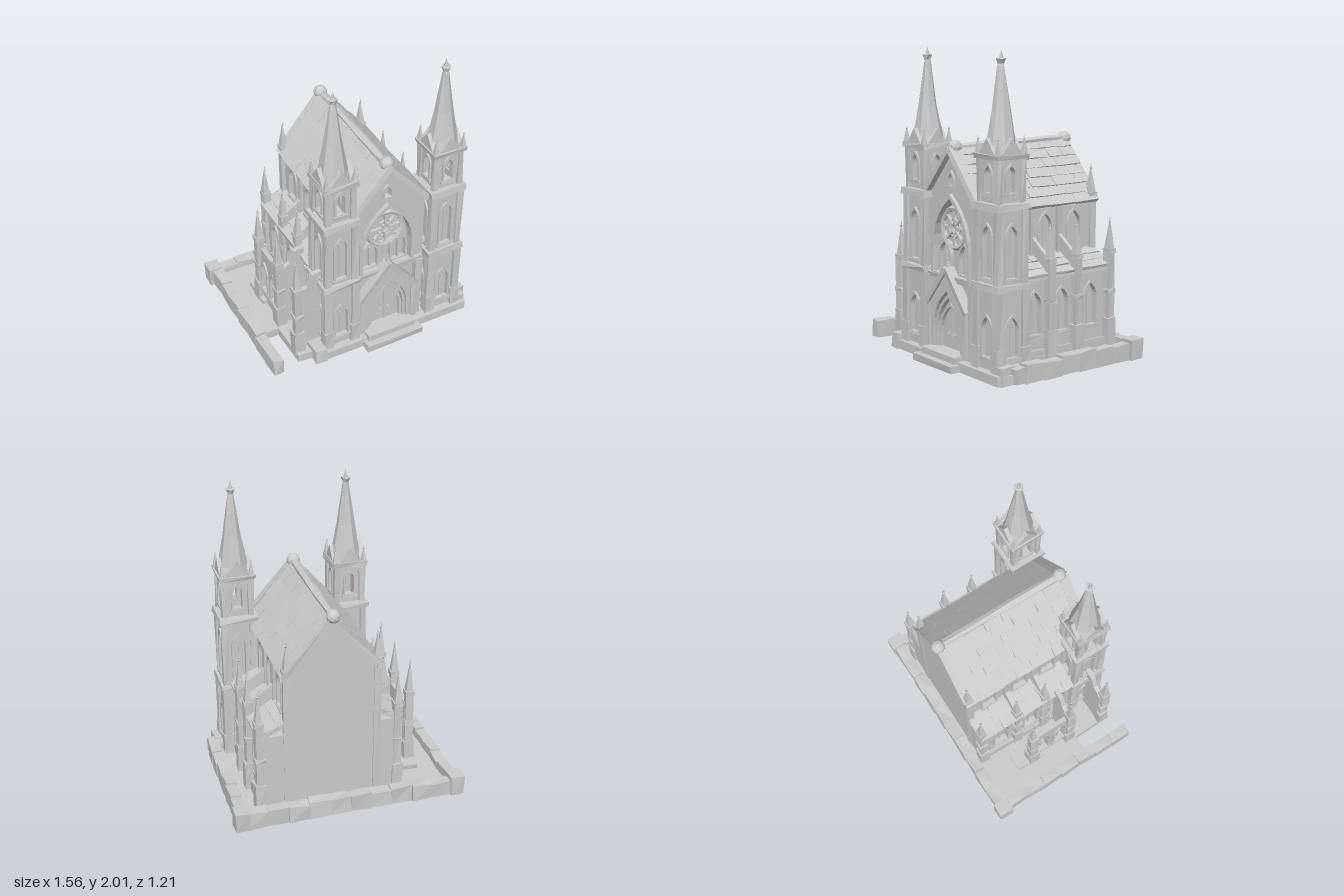
import * as THREE from 'three';

const stone = new THREE.MeshStandardMaterial({ color: 0xcccccc, flatShading: true });
let seed = 7;
const rnd = () => ((seed = (seed * 16807) % 2147483647) / 2147483647);
const CX = 0.1; // nave axis

// Chisel: shift vertices by a rule of position so shared corners stay together
function chisel(geo, amp) {
  const p = geo.attributes.position, k = rnd() * 50;
  const h = (a, b, c, d) => amp * Math.sin(a * 91 + b * 57 + c * 73 + d + k);
  for (let i = 0; i < p.count; i++) {
    const x = p.getX(i), y = p.getY(i), z = p.getZ(i);
    p.setXYZ(i, x + h(x, y, z, 0), y + h(y, z, x, 2), z + h(z, x, y, 4));
  }
  geo.computeVertexNormals();
  return geo;
}
function add(parent, name, geo, x = 0, y = 0, z = 0, ry = 0, rz = 0) {
  const m = new THREE.Mesh(geo, stone);
  m.name = name;
  m.position.set(x, y, z);
  m.rotation.set(0, ry, rz);
  parent.add(m);
  return m;
}
function group(parent, name, x = 0, y = 0, z = 0, ry = 0) {
  const g = new THREE.Group();
  g.name = name;
  g.position.set(x, y, z);
  g.rotation.y = ry;
  parent.add(g);
  return g;
}
// Rough block standing on y
const block = (parent, name, w, h, d, x, y, z, amp = 0.004) =>
  add(parent, name, chisel(new THREE.BoxGeometry(w, h, d), amp), x, y + h / 2, z);
const extrude = (shape, depth) =>
  new THREE.ExtrudeGeometry(shape, { depth, bevelEnabled: false, curveSegments: 5 });
const polygon = pts => new THREE.Shape(pts.map(([x, y]) => new THREE.Vector2(x, y)));

// Pointed arch outline
function arch(w, h, x = 0, y = 0, Type = THREE.Shape) {
  const s = y + h - w * 0.9, t = y + h, c = s + (t - s) * 0.6, p = new Type();
  p.moveTo(x - w / 2, y);
  p.lineTo(x + w / 2, y);
  p.lineTo(x + w / 2, s);
  p.quadraticCurveTo(x + w / 2, c, x, t);
  p.quadraticCurveTo(x - w / 2, c, x - w / 2, s);
  p.lineTo(x - w / 2, y);
  return p;
}
function archFrame(parent, name, w, h, t, depth, x, y, z) {
  const s = arch(w + 2 * t, h + 1.4 * t);
  s.holes.push(arch(w, h - 0.01, 0, 0.01, THREE.Path));
  add(parent, name, extrude(s, depth), x, y, z);
}
// Wall with arched openings [x, y, w, h], outer face at local z = 0
function wall(parent, name, w, h, depth, openings, mullions = true) {
  const s = polygon([[-w / 2, 0], [w / 2, 0], [w / 2, h], [-w / 2, h]]);
  openings.forEach(([x, y, ow, oh]) => {
    s.holes.push(arch(ow, oh, x, y, THREE.Path));
    archFrame(parent, 'windowFrame', ow, oh, 0.014, 0.025, x, y, -0.013);
    block(parent, 'windowSill', ow + 0.04, 0.02, 0.035, x, y - 0.015, 0, 0.002);
    if (mullions) block(parent, 'mullion', 0.01, oh * 0.85, 0.015, x, y, -depth * 0.7, 0.001);
  });
  add(parent, name, extrude(s, depth), 0, 0, -depth);
}
// Square pinnacle with collar and tip
function pinnacle(parent, x, y, z, r, h) {
  const g = group(parent, 'pinnacle', x, y, z);
  block(g, 'pinnacleCollar', r * 2.3, h * 0.12, r * 2.3, 0, 0, 0, 0.002);
  add(g, 'pinnacleSpike', chisel(new THREE.ConeGeometry(r * 1.3, h * 0.85, 4), 0.002), 0, h * 0.52, 0, Math.PI / 4);
  add(g, 'pinnacleKnob', new THREE.OctahedronGeometry(r * 0.45), 0, h * 0.84, 0);
  add(g, 'pinnacleTip', new THREE.ConeGeometry(r * 0.25, h * 0.14, 4), 0, h * 0.93, 0);
}
// Stepped buttress, narrowing upwards
function buttress(parent, x, z, top, w, tip) {
  block(parent, 'buttressFoot', w * 1.35, top * 0.3, w * 1.35, x, 0.05, z);
  block(parent, 'buttressShaft', w, top - 0.05, w, x, 0.05, z);
  block(parent, 'buttressBand', w * 1.25, 0.025, w * 1.25, x, top * 0.62, z);
  pinnacle(parent, x, top, z, w * 0.5, tip - top);
}

function tower(parent, x, z) {
  const t = group(parent, 'tower', x, 0, z);
  // [name, y, height, half width, post width, opening w, opening h, opening y]
  const stages = [
    ['towerBase', 0.05, 0.52, 0.105, 0.052, 0.09, 0.26, 0.08],
    ['towerMiddle', 0.59, 0.47, 0.1, 0.044, 0.08, 0.33, 0.03],
    ['towerBelfry', 1.09, 0.27, 0.092, 0.038, 0.06, 0.17, 0.05]];
  stages.forEach(([name, y, h, r, post, ow, oh, oy], i) => {
    if (i < 2) block(t, name + 'Core', r * 1.6, h, r * 1.6, 0, y, 0, 0);
    for (let k = 0; k < 4; k++) {
      const a = k * Math.PI / 2, face = group(t, name + 'Side', Math.sin(a) * r, y, Math.cos(a) * r, a);
      wall(face, name + 'Wall', r * 2, h, 0.03, [[0, oy, ow, oh]], i < 2);
      const sx = k & 1 ? 1 : -1, sz = k & 2 ? 1 : -1;
      block(t, name + 'Post', post, h, post, sx * r * 0.96, y, sz * r * 0.96);
      if (i === 0) block(t, 'towerPostFoot', 0.068, 0.15, 0.068, sx * 0.098, y, sz * 0.098);
    }
    block(t, name + 'Ledge', r * 2 + 0.055, 0.035, r * 2 + 0.055, 0, y + h - 0.012, 0, 0.005);
  });
  // Crown gables and corner pinnacles around the spire
  for (let k = 0; k < 4; k++) {
    const a = k * Math.PI / 2;
    const gable = polygon([[-0.085, 0], [0.085, 0], [0, 0.11]]);
    add(t, 'crownGable', extrude(gable, 0.03), Math.sin(a) * 0.08, 1.37, Math.cos(a) * 0.08, a);
    pinnacle(t, (k & 1 ? 1 : -1) * 0.098, 1.37, (k & 2 ? 1 : -1) * 0.098, 0.018, 0.12);
  }
  const profile = [[0.115, 1.37], [0.096, 1.43], [0.06, 1.63], [0.021, 1.9], [0.016, 1.92]].map(p => new THREE.Vector2(...p));
  add(t, 'spire', chisel(new THREE.LatheGeometry(profile, 8), 0.003), 0, 0, 0, Math.PI / 8);
  add(t, 'spireKnob', chisel(new THREE.CylinderGeometry(0.033, 0.02, 0.03, 6), 0.003), 0, 1.93, 0);
  add(t, 'spireTip', new THREE.ConeGeometry(0.02, 0.07, 5), 0, 1.965, 0);
}

// Overlapping slates on a slope rising along +x from the group's origin
function slates(parent, length, depth, rows, thick, angle) {
  const slope = group(parent, 'slateSlope');
  slope.rotation.z = angle;
  add(slope, 'roofBoard', new THREE.BoxGeometry(length, 0.02, depth), length / 2, -0.012, 0);
  for (let r = 0; r < rows; r++) {
    for (let z = -depth / 2; z < depth / 2 - 0.01;) {
      let w = 0.1 + rnd() * 0.12;
      if (z + w > depth / 2 - 0.06) w = depth / 2 - z;
      const s = block(slope, 'slate', length / rows * 1.15, thick, w - 0.002, (r + 0.5) * length / rows, -0.006, z + w / 2, 0.003);
      s.rotation.z = -0.1;
      z += w;
    }
  }
}

function sideOfNave(parent, s) {
  // Clerestory above the aisle
  const bays = [0.14, -0.08, -0.32], ry = s * Math.PI / 2;
  const upper = group(parent, 'clerestory', CX + s * 0.295, 0.64, -0.12, ry);
  wall(upper, 'clerestoryWall', 0.74, 0.4, 0.03, bays.map(z => [-s * (z + 0.12), 0.06, 0.1, 0.25]));
  block(upper, 'eaveCornice', 0.76, 0.03, 0.03, 0, 0.35, 0.005);
  // Aisle with lancets and lean-to roof
  const ax = 0.11 + s * 0.45;
  block(parent, 'aisleCore', 0.2, 0.55, 0.74, ax - s * 0.13, 0.05, -0.12, 0);
  const lower = group(parent, 'aisle', ax, 0.05, -0.12, ry);
  wall(lower, 'aisleWall', 0.74, 0.56, 0.032, bays.map(z => [-s * (z + 0.12), 0.17, 0.1, 0.28]));
  block(lower, 'aislePlinth', 0.75, 0.08, 0.03, 0, 0, 0.01);
  block(lower, 'aisleCornice', 0.75, 0.03, 0.035, 0, 0.53, 0.01);
  const lean = group(parent, 'aisleRoof', 0.11 + s * 0.475, 0.6, -0.12, s > 0 ? Math.PI : 0);
  slates(lean, 0.21, 0.74, 3, 0.02, Math.atan2(0.09, 0.19));
  // Buttresses with flying arms
  [0.03, -0.19, -0.47].forEach(z => {
    buttress(parent, 0.12 + s * 0.46, z, 0.68, 0.052, 0.93);
    block(parent, 'clerestoryPier', 0.035, 0.34, 0.04, CX + s * 0.3, 0.66, z);
    const arm = polygon([[0.45, 0.62], [0.46, 0.7], [0.29, 0.82], [0.29, 0.72]].map(([x, y]) => [s * x, y]));
    if (z > -0.4) add(parent, 'flyingButtress', extrude(arm, 0.026), 0.115, 0, z - 0.013);
  });
  block(parent, 'cornerPier', 0.05, 1.0, 0.05, CX + s * 0.295, 0.05, -0.47);
  pinnacle(parent, CX + s * 0.295, 1.03, -0.47, 0.026, 0.22);
  // Main roof slope
  const roof = group(parent, 'mainRoof', CX + s * 0.32, 1.0, -0.04, s > 0 ? Math.PI : 0);
  slates(roof, 0.5, 0.92, 7, 0.024, Math.atan2(0.38, 0.32));
}

function facade(parent) {
  const f = group(parent, 'facade', CX, 0, 0.43);
  const front = polygon([[-0.28, 0.05], [0.28, 0.05], [0.28, 1.06], [0, 1.38], [-0.28, 1.06]]);
  front.holes.push(arch(0.36, 0.5, 0, 0.56, THREE.Path));
  front.holes.push(arch(0.05, 0.09, 0, 1.13, THREE.Path));
  add(f, 'facadeWall', extrude(front, 0.05), 0, 0, -0.05);
  archFrame(f, 'greatArch', 0.36, 0.5, 0.022, 0.04, 0, 0.56, -0.015);
  archFrame(f, 'gableWindowFrame', 0.05, 0.09, 0.012, 0.02, 0, 1.13, -0.005);
  [-1, 1].forEach(s => {
    add(f, 'gableCoping', chisel(new THREE.BoxGeometry(0.44, 0.04, 0.07), 0.004), s * 0.145, 1.21, 0, 0, -s * Math.atan2(0.32, 0.28));
    archFrame(f, 'lancet', 0.1, 0.2, 0.016, 0.03, s * 0.105, 0.57, -0.04);
    block(f, 'lancetMullion', 0.012, 0.17, 0.02, s * 0.105, 0.57, -0.03, 0.001);
    block(f, 'facadePier', 0.05, 0.5, 0.05, s * 0.235, 0.05, 0.015);
  });
  block(f, 'facadeLedge', 0.54, 0.03, 0.06, 0, 0.535, 0.005);
  // Rose window
  const rose = group(f, 'roseWindow', 0, 0.87, -0.02);
  add(rose, 'roseRim', new THREE.TorusGeometry(0.125, 0.018, 5, 20));
  add(rose, 'roseHub', new THREE.TorusGeometry(0.028, 0.01, 5, 10));
  for (let i = 0; i < 8; i++) {
    const a = i * Math.PI / 4;
    add(rose, 'roseSpoke', new THREE.BoxGeometry(0.09, 0.013, 0.022), Math.cos(a) * 0.075, Math.sin(a) * 0.075, 0, 0, a);
    add(rose, 'rosePetal', new THREE.TorusGeometry(0.032, 0.006, 4, 8), Math.cos(a + 0.39) * 0.086, Math.sin(a + 0.39) * 0.086, 0);
  }
  // Portal with nested arches, door and steps
  const p = group(f, 'portal', 0, 0.07, 0);
  const hood = polygon([[-0.2, 0], [0.2, 0], [0.2, 0.29], [0, 0.53], [-0.2, 0.29]]);
  hood.holes.push(arch(0.29, 0.4, 0, 0.001, THREE.Path));
  add(p, 'portalHood', extrude(hood, 0.05));
  [0.25, 0.21].forEach((w, i) => archFrame(p, 'portalArch', w, w * 1.42, 0.02, 0.035 - i * 0.013, 0, 0, 0));
  block(p, 'doorSeam', 0.008, 0.27, 0.01, 0, 0, 0, 0);
  [-1, 1].forEach(s => {
    add(p, 'hoodCoping', chisel(new THREE.BoxGeometry(0.33, 0.03, 0.075), 0.003), s * 0.105, 0.42, 0.03, 0, -s * 0.876);
    block(p, 'portalPier', 0.04, 0.3, 0.07, s * 0.195, 0, 0.025);
    add(p, 'doorHandle', new THREE.TorusGeometry(0.012, 0.004, 4, 8), s * 0.03, 0.12, 0.006);
  });
  pinnacle(p, 0, 0.52, 0.03, 0.018, 0.1);
  block(f, 'upperStep', 0.36, 0.085, 0.12, 0, 0, 0.06);
  block(f, 'lowerStep', 0.42, 0.045, 0.16, 0, 0, 0.09);
}

// Row of rough stones between two points along x or z
function stoneRow(parent, x0, z0, x1, z1, w) {
  const n = Math.round(Math.hypot(x1 - x0, z1 - z0) / 0.14), alongX = x0 !== x1;
  for (let i = 0; i < n; i++) {
    const t = (i + 0.5) / n, l = ((alongX ? x1 - x0 : z1 - z0) / n) * 1.01;
    block(parent, 'borderStone', alongX ? l : w, 0.1 + rnd() * 0.025, alongX ? w : l, x0 + (x1 - x0) * t, 0, z0 + (z1 - z0) * t, 0.005);
  }
}

export function createModel() {
  seed = 7;
  const g = new THREE.Group();
  g.name = 'church';

  // Plinth and stone border
  const base = group(g, 'base');
  const plan = polygon([[-0.74, 0.56], [0.73, 0.56], [0.73, -0.36], [0.69, -0.53], [-0.42, -0.53], [-0.44, -0.47], [-0.56, -0.46], [-0.57, -0.17], [-0.74, -0.17]].reverse());
  add(base, 'plinth', extrude(plan, 0.06).rotateX(-Math.PI / 2));
  stoneRow(base, -0.7, -0.55, 0.7, -0.55, 0.075);
  stoneRow(base, -0.72, -0.5, -0.72, 0.5, 0.07);
  stoneRow(base, 0.715, -0.5, 0.715, 0.35, 0.07);
  [-0.735, 0.725].forEach(x => block(base, 'cornerStone', 0.09, 0.135, 0.1, x, 0, -0.55));
  [[0.65, 0.45], [0.69, 0.37], [-0.42, 0.47]].forEach(([x, z]) => block(base, 'looseStone', 0.09, 0.1, 0.12, x, 0, z, 0.008));

  // Nave body, flat at the back
  const body = polygon([[-0.275, 0], [0.275, 0], [0.275, 1.03], [0, 1.36], [-0.275, 1.03]]);
  add(g, 'naveBody', extrude(body, 0.88), CX, 0.02, -0.49);
  [-1, 1].forEach(s => sideOfNave(g, s));
  add(g, 'ridge', chisel(new THREE.CylinderGeometry(0.028, 0.028, 0.92, 6, 5).rotateX(Math.PI / 2), 0.004), CX, 1.38, -0.04);
  [0.41, -0.49].forEach(z => add(g, 'ridgeKnob', new THREE.IcosahedronGeometry(0.046, 1), CX, 1.385, z));
  [-1, 1].forEach(s => add(g, 'backCoping', chisel(new THREE.BoxGeometry(0.47, 0.03, 0.04), 0.003), CX + s * 0.15, 1.205, -0.49, 0, -s * 0.87));

  facade(g);
  [-0.25, 0.52].forEach(x => tower(g, x, 0.37));

  // Outlying wall with gabled windows and arms on the right flank
  const flank = group(g, 'flankWall');
  [-0.18, 0.12, 0.4].forEach(z => buttress(flank, -0.53, z, 0.57, 0.055, 0.84));
  const panel = group(flank, 'flankPanel', -0.53, 0.05, -0.03, -Math.PI / 2);
  wall(panel, 'flankPanelWall', 0.3, 0.46, 0.03, [[-0.07, 0.12, 0.08, 0.24], [0.07, 0.12, 0.08, 0.24]]);
  const arm = polygon([[-0.53, 0.05], [-0.35, 0.05], [-0.35, 0.67], [-0.42, 0.66], [-0.45, 0.57], [-0.53, 0.53]]);
  [0.12, 0.38].forEach(z => add(flank, 'flankArm', extrude(arm, 0.03), 0, 0, z - 0.015));
  block(flank, 'flankPaving', 0.12, 0.05, 0.22, -0.5, 0.04, -0.2);
  return g;
}
